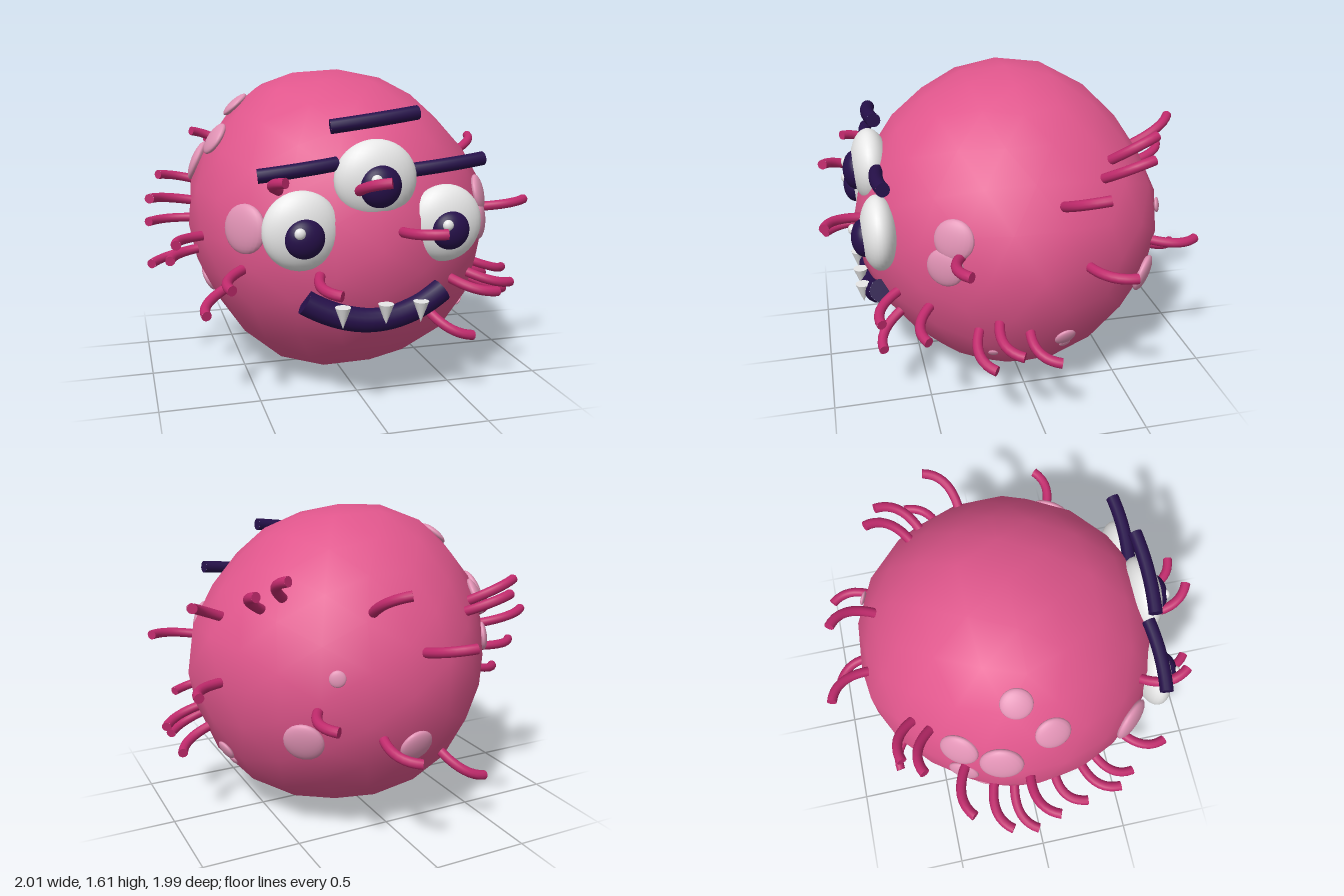
import * as THREE from 'three';
import { mergeGeometries, mergeVertices } from 'three/addons/utils/BufferGeometryUtils.js';

const V = (x, y, z) => new THREE.Vector3(x, y, z);
const UP = V(0, 1, 0);
const CENTRE = V(0.03, 0.81, 0);

// Outlines of the lumpy body: front (x, y), side (z, y) and plan (x, z)
const FRONT = [[-0.18, 1.61], [0.08, 1.61], [0.43, 1.48], [0.6, 1.3], [0.77, 1.1], [0.88, 0.82], [0.82, 0.58], [0.68, 0.28],
  [0.38, 0.07], [0, 0], [-0.2, 0], [-0.4, 0.12], [-0.63, 0.4], [-0.75, 0.65], [-0.78, 0.9], [-0.75, 1.08], [-0.6, 1.33], [-0.37, 1.55]];
const SIDE = [[0, 1.61], [-0.2, 1.61], [-0.5, 1.42], [-0.68, 1.18], [-0.76, 1], [-0.81, 0.85], [-0.77, 0.6], [-0.6, 0.28], [-0.4, 0.12],
  [0, 0], [0.2, 0.03], [0.45, 0.15], [0.65, 0.35], [0.78, 0.58], [0.82, 0.8], [0.76, 1.05], [0.65, 1.25], [0.55, 1.4], [0.3, 1.52]];
const PLAN = [[0, -0.81], [-0.25, -0.78], [-0.45, -0.62], [-0.65, -0.38], [-0.77, -0.15], [-0.77, 0.1], [-0.72, 0.3], [-0.6, 0.5], [-0.42, 0.67],
  [-0.2, 0.77], [0.03, 0.82], [0.25, 0.77], [0.45, 0.67], [0.6, 0.55], [0.72, 0.35], [0.81, 0.2], [0.88, 0], [0.79, -0.2], [0.7, -0.47], [0.5, -0.68], [0.25, -0.8]];

const polar = (points, cx, cy) => points
  .map(([x, y]) => [Math.atan2(y - cy, x - cx), Math.hypot(x - cx, y - cy)])
  .sort((a, b) => a[0] - b[0]);
const frontPolar = polar(FRONT, CENTRE.x, CENTRE.y);
const sidePolar = polar(SIDE, CENTRE.z, CENTRE.y);
const planPolar = polar(PLAN, CENTRE.x, CENTRE.z);

function radiusAt(table, angle) {
  const n = table.length;
  let i = table.findIndex((p) => p[0] > angle);
  if (i < 0) i = n;
  const [a0, r0] = i > 0 ? table[i - 1] : [table[n - 1][0] - 2 * Math.PI, table[n - 1][1]];
  const [a1, r1] = i < n ? table[i] : [table[0][0] + 2 * Math.PI, table[0][1]];
  return r0 + (r1 - r0) * (angle - a0) / (a1 - a0);
}

// Body radius in a direction, blended from the three outlines
function bodyRadius(d) {
  const parts = [
    [d.z, radiusAt(frontPolar, Math.atan2(d.y, d.x))],
    [d.x, radiusAt(sidePolar, Math.atan2(d.y, d.z))],
    [d.y, radiusAt(planPolar, Math.atan2(d.z, d.x))],
  ];
  let sum = 0, total = 0;
  for (const [n, r] of parts) {
    const w = (1 - n * n) ** 2 / (n * n + 0.03);
    sum += w * r;
    total += w;
  }
  return sum / total;
}

// Round rod along a curve, closed by flat ends
function rodGeometry(curve, radius, segments = 10, sides = 12) {
  const cap = (t, sign) => {
    const disc = new THREE.CircleGeometry(radius, sides);
    disc.applyQuaternion(new THREE.Quaternion().setFromUnitVectors(V(0, 0, 1), curve.getTangent(t).multiplyScalar(sign)));
    const p = curve.getPoint(t);
    return disc.translate(p.x, p.y, p.z);
  };
  return mergeGeometries([new THREE.TubeGeometry(curve, segments, radius, sides), cap(0, -1), cap(1, 1)]);
}

export function createModel() {
  const model = new THREE.Group();
  const material = (name, color) => {
    const m = new THREE.MeshStandardMaterial({ color });
    m.name = name;
    return m;
  };
  const pink = material('body pink', 0xe0568c);
  const magenta = material('hair magenta', 0xc02a6c);
  const pale = material('spot pink', 0xe092b4);
  const dark = material('dark purple', 0x26104a);
  const white = material('white', 0xf0f0f0);

  const add = (name, geometry, mat, parent = model) => {
    const mesh = new THREE.Mesh(geometry, mat);
    mesh.name = name;
    parent.add(mesh);
    return mesh;
  };
  const group = (name) => {
    const g = new THREE.Group();
    g.name = name;
    model.add(g);
    return g;
  };

  // Lumpy body
  let ball = new THREE.IcosahedronGeometry(1, 3);
  ball.deleteAttribute('uv');
  ball.deleteAttribute('normal');
  ball = mergeVertices(ball);
  const pos = ball.attributes.position;
  for (let i = 0; i < pos.count; i++) {
    const d = V().fromBufferAttribute(pos, i).normalize();
    d.multiplyScalar(bodyRadius(d)).add(CENTRE);
    pos.setXYZ(i, d.x, d.y, d.z);
  }
  ball.computeVertexNormals();
  add('body', ball, pink);

  // Flattened spots lying on the skin: x, y, z, radius
  const spots = group('spots');
  for (const [x, y, z, r] of [
    [-0.56, 0.89, 0.53, 0.12], [-0.64, 1.27, 0.08, 0.09], [-0.5, 1.42, -0.07, 0.08], [-0.69, 1.12, -0.18, 0.11],
    [-0.59, 1.13, -0.37, 0.1], [-0.65, 0.91, -0.37, 0.08], [-0.02, 0.53, -0.74, 0.09], [-0.63, 0.45, -0.25, 0.1],
    [-0.66, 0.47, -0.17, 0.08], [0.5, 0.61, -0.6, 0.1], [0.38, 0.92, -0.7, 0.04], [0.72, 0.43, -0.14, 0.055],
    [0.7, 0.37, -0.15, 0.03], [0.66, 0.35, 0.2, 0.025], [0.69, 0.98, 0.39, 0.1], [0.68, 0.84, 0.43, 0.095],
  ]) {
    const n = V(x, y, z).sub(CENTRE).normalize();
    const spot = add('spot', new THREE.SphereGeometry(r, 20, 14), pale, spots);
    spot.scale.z = 0.32;
    spot.quaternion.setFromUnitVectors(V(0, 0, 1), n);
    spot.position.copy(CENTRE).addScaledVector(n, bodyRadius(n));
  }

  // Hairs, all curling the same way round the body, given by their tips
  const hairs = group('hairs');
  for (const [x, y, z] of [
    [-0.70, 1.25, -0.55], [-0.61, 1.2, -0.65], [-0.91, 1.03, -0.36], [-0.98, 0.8, -0.18], [-0.98, 0.6, -0.04],
    [-0.98, 0.97, 0.06], [-0.9, 0.68, 0.24], [-0.88, 0.8, 0.41], [-0.76, 0.48, 0.55], [-0.66, 0.65, 0.73],
    [-0.43, 1.15, 0.83], [-0.21, 0.66, 0.97], [0.02, 1.15, 0.95], [0.28, 0.91, 0.97], [0.53, 0.33, 0.73],
    [0.65, 0.55, 0.74], [0.82, 0.53, 0.54], [0.97, 0.93, 0.36], [0.93, 0.4, 0.24], [0.98, 0.49, 0.12],
    [0.95, 0.41, -0.07], [0.92, 1.21, -0.28], [0.95, 0.82, -0.42], [0.71, 1.3, -0.56], [0.58, 1.37, -0.62],
    [0.1, 1.31, -0.88], [0.48, 0.75, -0.92], [0.08, 0.54, -0.97], [-0.2, 1.05, -0.96], [-0.44, 0.28, -0.74],
  ]) {
    const tip = V(x, y, z);
    const arm = tip.clone().sub(CENTRE);
    const n = arm.clone().applyAxisAngle(UP, -Math.asin(0.12 / Math.hypot(arm.x, arm.z))).normalize();
    const side = UP.clone().cross(n).normalize();
    const r = bodyRadius(n);
    const root = CENTRE.clone().addScaledVector(n, r - 0.04);
    const bend = CENTRE.clone().addScaledVector(n, r + 0.75 * (arm.length() - r)).addScaledVector(side, -0.02);
    add('hair', rodGeometry(new THREE.QuadraticBezierCurve3(root, bend, tip), 0.025), magenta, hairs);
  }

  // Three eyes with pupils and glints
  const ellipsoid = (name, [x, y, z], [rx, ry, rz], mat, parent) => {
    const mesh = add(name, new THREE.SphereGeometry(1, 32, 20), mat, parent);
    mesh.position.set(x, y, z);
    mesh.scale.set(rx, ry, rz);
  };
  for (const [name, x, y, s] of [['rightEye', -0.335, 0.905, 1], ['middleEye', 0.02, 1.13, 1.08], ['leftEye', 0.37, 0.905, 1]]) {
    const eye = group(name);
    ellipsoid('eyeball', [x, y, 0.71], [0.185 * s, 0.188, 0.093 * s], white, eye);
    ellipsoid('pupil', [x, y - 0.02, 0.782], [0.094 * s, 0.094 * s, 0.063 * s], dark, eye);
    ellipsoid('glint', [x - 0.033, y + 0.015, 0.835], [0.026, 0.026, 0.02], white, eye);
  }

  // Slanted brows
  for (const [name, x, y, w, h] of [['rightBrow', -0.345, 1.185, 0.185, 0.022], ['middleBrow', 0.018, 1.405, 0.21, 0.028], ['leftBrow', 0.38, 1.185, 0.185, 0.022]]) {
    const curve = new THREE.QuadraticBezierCurve3(V(x - w, y - h, 0.69), V(x, y, 0.72), V(x + w, y + h, 0.69));
    add(name, rodGeometry(curve, 0.034, 10, 14), dark);
  }

  // Smiling mouth and pointed teeth
  const smile = new THREE.QuadraticBezierCurve3(V(-0.32, 0.565, 0.715), V(0.02, 0.355, 0.775), V(0.36, 0.575, 0.715));
  add('mouth', rodGeometry(smile, 0.06, 20, 16), dark);
  for (const x of [-0.16, 0.05, 0.225]) {
    const tooth = add('tooth', new THREE.ConeGeometry(0.038, 0.105, 16), white);
    tooth.rotation.x = Math.PI;
    tooth.position.set(x, 0.5, 0.8);
  }
  return model;
}
